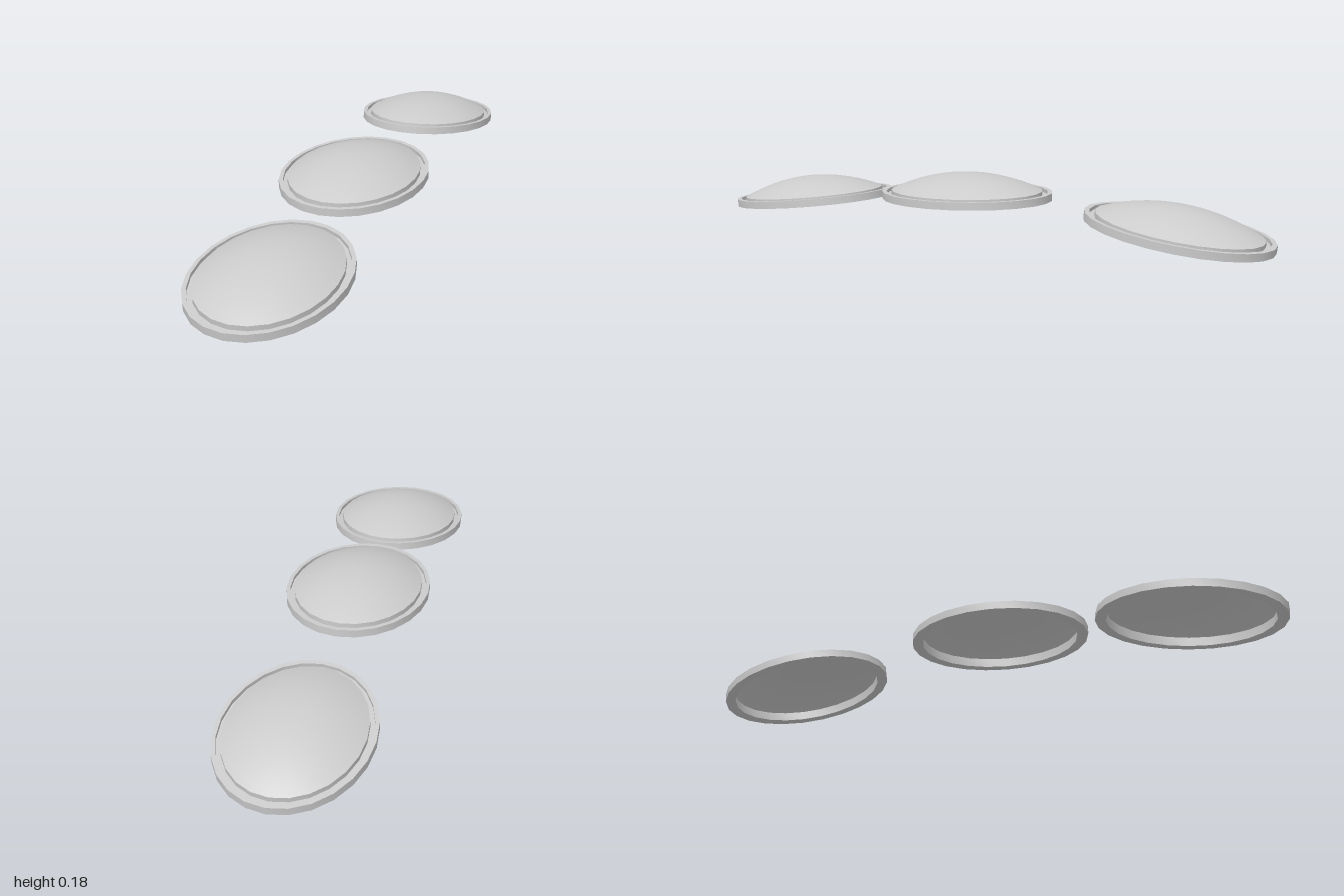
import * as THREE from 'three';
import { toCreasedNormals } from 'three/addons/utils/BufferGeometryUtils.js';

const SEGMENTS = 24;
const material = new THREE.MeshStandardMaterial({ color: 0xcccccc, side: THREE.DoubleSide });

// Revolve a profile and squeeze it sideways into an oval
function ovalLathe(points) {
  const geometry = new THREE.LatheGeometry(points.map(([r, y]) => new THREE.Vector2(r, y)), SEGMENTS);
  geometry.scale(0.235 / 0.3, 1, 1);
  return toCreasedNormals(geometry, 0.6);
}

function createLens(name, rimGeometry, domeGeometry) {
  const lens = new THREE.Group();
  lens.name = name;
  const rim = new THREE.Mesh(rimGeometry, material);
  rim.name = 'rim';
  const dome = new THREE.Mesh(domeGeometry, material);
  dome.name = 'dome';
  lens.add(rim, dome);
  return lens;
}

export function createModel() {
  const model = new THREE.Group();
  model.name = 'domedOvals';

  // Rim: outer lip, recessed groove and inner collar that carries the dome
  const rimGeometry = ovalLathe([
    [0.264, 0], [0.3, 0], [0.3, 0.025], [0.284, 0.025], [0.284, 0.013],
    [0.266, 0.013], [0.266, 0.029], [0.264, 0.029], [0.264, 0],
  ]);

  // Dome: shallow curved shell, open underneath
  const domeProfile = [];
  for (let i = 0; i <= 10; i++) {
    const t = 1 - i / 10;
    domeProfile.push([0.266 * t, 0.086 - 0.057 * t * t]);
  }
  const domeGeometry = ovalLathe(domeProfile);

  // Three lenses along z, each tilted to follow a gentle arch
  const placements = [
    ['frontLens', 0.034, 0.699, 0.112],
    ['middleLens', 0.096, 0.052, 0.026],
    ['backLens', 0.054, -0.7, -0.132],
  ];
  for (const [name, y, z, tilt] of placements) {
    const lens = createLens(name, rimGeometry, domeGeometry);
    lens.position.set(0, y, z);
    lens.rotation.x = tilt;
    model.add(lens);
  }
  return model;
}
